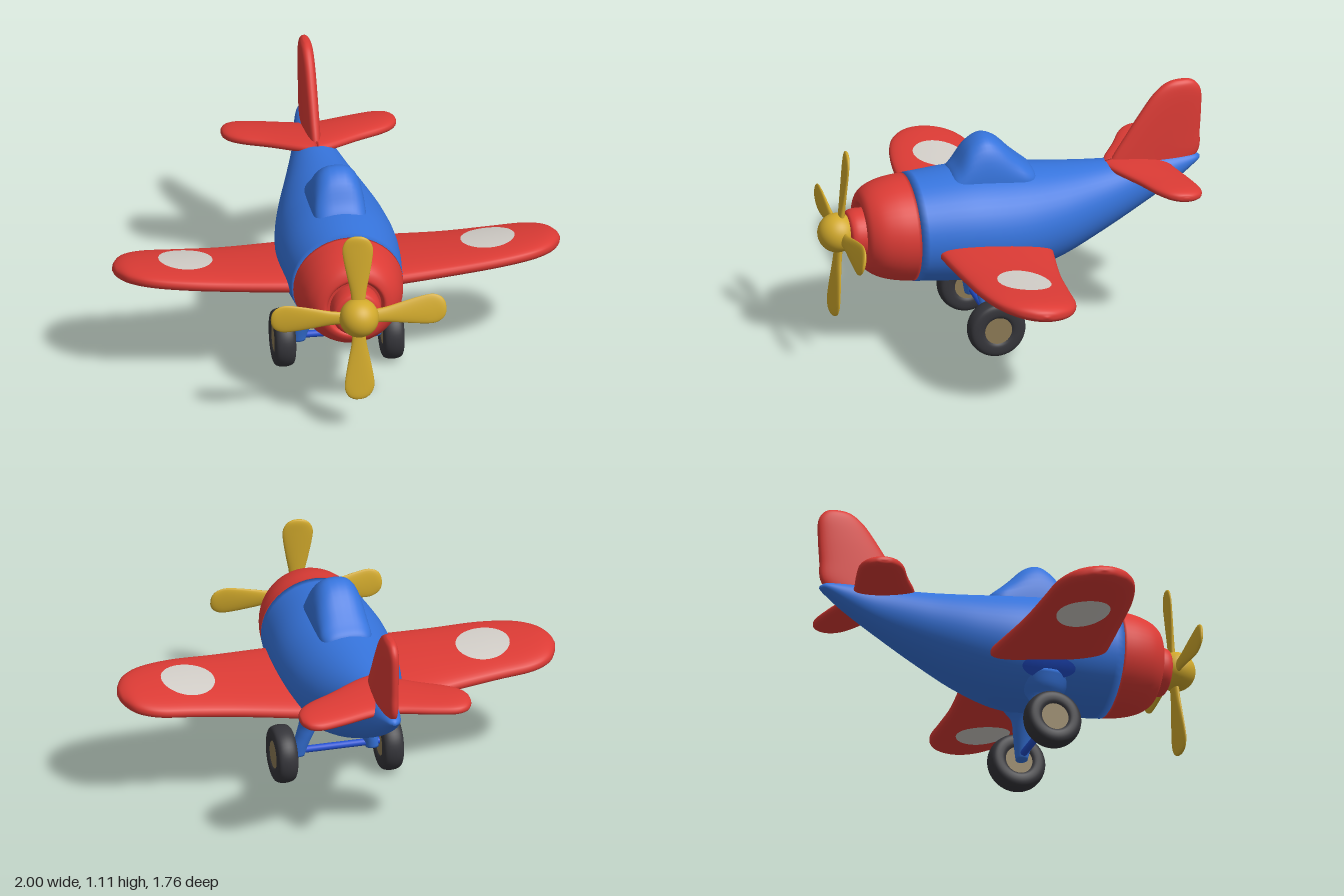
import * as THREE from 'three';

const paint = (name, color, side = THREE.FrontSide) => {
  const m = new THREE.MeshStandardMaterial({ color, side });
  m.name = name;
  return m;
};

// Smooth curve through the rows of a small table, addressed by row number
function smoothTable(rows) {
  const width = rows[0].length;
  const curve = new THREE.CubicInterpolant(rows.map((_, i) => i), rows.flat(), width, new Float32Array(width));
  const at = t => Array.from(curve.evaluate(t));
  at.last = rows.length - 1;
  return at;
}

// Rounded section: >1 sharpens, <1 squares off
const bulge = (v, p) => Math.sign(v) * Math.pow(Math.abs(v), p);

// Closed skin over the sections of a table; point(row, angle) gives the surface
function loft(at, point, steps = 40, sides = 36) {
  const pos = [], idx = [];
  for (let i = 0; i <= steps; i++) {
    const row = at(at.last * i / steps);
    for (let j = 0; j < sides; j++) pos.push(...point(row, 2 * Math.PI * j / sides));
  }
  for (const ring of [0, steps]) {
    const c = [0, 0, 0];
    for (let j = 0; j < sides; j++) for (let k = 0; k < 3; k++) c[k] += pos[(ring * sides + j) * 3 + k] / sides;
    pos.push(...c);
  }
  const capA = (steps + 1) * sides, capB = capA + 1;
  for (let j = 0; j < sides; j++) {
    const n = (j + 1) % sides;
    for (let i = 0; i < steps; i++) {
      const a = i * sides + j, b = i * sides + n;
      idx.push(a, b, a + sides, b, b + sides, a + sides);
    }
    idx.push(capA, n, j, capB, steps * sides + j, steps * sides + n);
  }
  // Turn the skin outwards if its signed volume is negative
  const v = i => new THREE.Vector3().fromArray(pos, i * 3);
  let volume = 0;
  for (let i = 0; i < idx.length; i += 3) volume += v(idx[i]).dot(v(idx[i + 1]).cross(v(idx[i + 2])));
  if (volume < 0) idx.reverse();
  const g = new THREE.BufferGeometry();
  g.setAttribute('position', new THREE.Float32BufferAttribute(pos, 3));
  g.setIndex(idx);
  g.computeVertexNormals();
  return g;
}

// Thin round marking laid on a surface: place(u, v) maps the unit disc
function decal(place) {
  const g = new THREE.RingGeometry(0.001, 1, 40, 6), p = g.attributes.position;
  for (let i = 0; i < p.count; i++) p.setXYZ(i, ...place(p.getX(i), p.getY(i)));
  g.computeVertexNormals();
  return g;
}

export function createModel() {
  const model = new THREE.Group();
  model.name = 'toyPlane';
  const red = paint('red', 0xdc3b35), blue = paint('blue', 0x3674dc), yellow = paint('yellow', 0xd2aa2c);
  const black = paint('tyre black', 0x35353a), tan = paint('hub tan', 0x8c7a55);
  const white = paint('marking white', 0xd2cec8, THREE.DoubleSide);
  const deepBlue = paint('deep blue', 0x2350d0, THREE.DoubleSide);
  const add = (name, geometry, material, parent = model) => {
    const m = new THREE.Mesh(geometry, material);
    m.name = name;
    parent.add(m);
    return m;
  };

  // Fuselage and cowl: z, top, bottom, half width
  const hull = ([z, top, bottom, w], a, grow = 0) => [
    (w + grow) * Math.cos(a), (top + bottom) / 2 + ((top - bottom) / 2 + grow) * Math.sin(a), z];
  const body = smoothTable([
    [0.475, 0.80, 0.317, 0.246], [0.22, 0.812, 0.293, 0.268], [0, 0.795, 0.29, 0.257], [-0.2, 0.775, 0.345, 0.215],
    [-0.4, 0.762, 0.435, 0.152], [-0.6, 0.76, 0.54, 0.09], [-0.75, 0.758, 0.632, 0.058],
    [-0.84, 0.75, 0.7, 0.032], [-0.868, 0.735, 0.72, 0.008]]);
  add('fuselage', loft(body, hull, 56, 48), blue);
  const cowl = smoothTable([
    [0.473, 0.80, 0.318, 0.246], [0.56, 0.793, 0.332, 0.232], [0.63, 0.775, 0.355, 0.21], [0.675, 0.748, 0.385, 0.178],
    [0.693, 0.715, 0.412, 0.148], [0.69, 0.695, 0.43, 0.13], [0.665, 0.68, 0.445, 0.118]]);
  add('cowl', loft(cowl, hull, 36, 48), red);
  const nose = smoothTable([[0.64, 0.108], [0.7, 0.112], [0.735, 0.107], [0.752, 0.09], [0.76, 0.04]]);
  add('noseRing', loft(nose, ([z, r], a) => [r * Math.cos(a), 0.558 + r * Math.sin(a), z], 24), red);

  // Canopy bump: z, top, half width
  const canopy = smoothTable([
    [0.295, 0.775, 0.08], [0.28, 0.81, 0.105], [0.25, 0.85, 0.117], [0.2, 0.93, 0.12], [0.135, 0.968, 0.121],
    [0.07, 0.945, 0.121], [0, 0.875, 0.12], [-0.05, 0.828, 0.117], [-0.085, 0.797, 0.1], [-0.1, 0.77, 0.07]]);
  add('canopy', loft(canopy, ([z, top, w], a) => {
    const s = Math.sin(a);
    return [w * bulge(Math.cos(a), 0.75), 0.75 + (s > 0 ? top - 0.75 : 0.05) * bulge(s, 0.85), z];
  }), blue);

  // Wing: x, leading z, trailing z, half thickness, height
  const wing = smoothTable([
    [0.1, 0.4, -0.16, 0.062, 0.473], [0.28, 0.39, -0.125, 0.056, 0.483], [0.5, 0.37, -0.088, 0.052, 0.495],
    [0.7, 0.35, -0.07, 0.05, 0.51], [0.85, 0.31, -0.058, 0.048, 0.52], [0.94, 0.25, -0.015, 0.042, 0.525],
    [0.985, 0.18, 0.055, 0.026, 0.526], [1, 0.125, 0.11, 0.004, 0.526]]);
  const wingHeight = (row, z) => row[4] + 0.13 * (z - 0.13);
  // Wing row at a given span, found by halving
  const wingAt = x => {
    let lo = 0, hi = wing.last;
    for (let i = 0; i < 24; i++) {
      const mid = (lo + hi) / 2;
      if (wing(mid)[0] < x) lo = mid; else hi = mid;
    }
    return wing(lo);
  };

  // Tailplane: x, leading z, trailing z, half thickness
  const tail = smoothTable([
    [0, -0.42, -0.72, 0.034], [0.08, -0.455, -0.735, 0.034], [0.2, -0.525, -0.768, 0.033], [0.3, -0.575, -0.788, 0.032],
    [0.355, -0.615, -0.775, 0.028], [0.383, -0.655, -0.74, 0.018], [0.391, -0.69, -0.71, 0.004]]);

  // Strut: y, x centre, x radius, z radius
  const strut = smoothTable([
    [0.115, 0.17, 0.03, 0.026], [0.16, 0.16, 0.034, 0.036], [0.22, 0.138, 0.036, 0.05],
    [0.28, 0.118, 0.044, 0.066], [0.33, 0.12, 0.075, 0.1], [0.39, 0.125, 0.095, 0.135]]);

  // Tyre cross-section: radius, half width
  const tyreProfile = new THREE.SplineCurve([
    [0.058, -0.036], [0.075, -0.046], [0.105, -0.046], [0.124, -0.034], [0.131, 0],
    [0.124, 0.034], [0.105, 0.046], [0.075, 0.046], [0.058, 0.036]].map(p => new THREE.Vector2(...p))).getPoints(32);

  for (const [side, s] of [['left', 1], ['right', -1]]) {
    add(side + 'Wing', loft(wing, (row, a) => {
      const z = (row[1] + row[2]) / 2 + (row[1] - row[2]) / 2 * Math.cos(a);
      return [s * row[0], wingHeight(row, z) + row[3] * bulge(Math.sin(a), 0.8), z];
    }, 48, 48), red);

    // Round markings above and below each wing
    for (const up of [1, -1]) {
      add(side + (up > 0 ? 'UpperMarking' : 'LowerMarking'), decal((u, v) => {
        const x = 0.675 + 0.12 * u, z = 0.13 + 0.12 * v, row = wingAt(x);
        const c = (z - (row[1] + row[2]) / 2) / ((row[1] - row[2]) / 2);
        return [s * x, wingHeight(row, z) + up * (row[3] * Math.pow(1 - c * c, 0.4) + 0.003), z];
      }), white);
    }

    // Dark patch on the belly under the wing root
    add(side + 'BellyPatch', decal((u, v) => {
      const [x, y, z] = hull(body(1.42 + 0.55 * u), -0.62 + 0.2 * v, 0.004);
      return [s * x, y, z];
    }), deepBlue);

    add(side + 'Tailplane', loft(tail, ([x, le, te, t], a) => {
      const z = (le + te) / 2 + (le - te) / 2 * Math.cos(a);
      return [s * x, 0.724 + 0.1 * (z + 0.64) + t * bulge(Math.sin(a), 0.8), z];
    }), red);

    add(side + 'Strut', loft(strut, ([y, x, rx, rz], a) =>
      [s * (x + rx * Math.cos(a)), y, 0.135 + rz * Math.sin(a)], 24, 28), blue);

    const wheel = new THREE.Group();
    wheel.name = side + 'Wheel';
    wheel.position.set(s * 0.242, 0.131, 0.135);
    wheel.rotation.z = Math.PI / 2;
    model.add(wheel);
    add('tyre', new THREE.LatheGeometry(tyreProfile, 48), black, wheel);
    add('hub', new THREE.CylinderGeometry(0.062, 0.062, 0.08, 36), tan, wheel);
  }

  const axle = add('axle', new THREE.CylinderGeometry(0.016, 0.016, 0.42, 20), deepBlue);
  axle.rotation.z = Math.PI / 2;
  axle.position.set(0, 0.138, 0.135);

  // Upright fin: y, leading z, trailing z, half thickness
  const fin = smoothTable([
    [0.69, -0.44, -0.8, 0.036], [0.765, -0.465, -0.864, 0.036], [0.86, -0.525, -0.87, 0.036], [0.97, -0.597, -0.876, 0.035],
    [1.05, -0.655, -0.875, 0.032], [1.092, -0.702, -0.853, 0.026], [1.11, -0.74, -0.825, 0.014], [1.114, -0.77, -0.795, 0.003]]);
  add('tailFin', loft(fin, ([y, le, te, t], a) =>
    [t * bulge(Math.sin(a), 0.75), y, (le + te) / 2 + (le - te) / 2 * Math.cos(a)]), red);

  // Propeller, leaning slightly back
  const propeller = new THREE.Group();
  propeller.name = 'propeller';
  propeller.position.set(0, 0.565, 0.785);
  propeller.rotation.x = -0.085;
  model.add(propeller);
  add('spinner', new THREE.SphereGeometry(0.088, 40, 28), yellow, propeller).position.set(0, 0.006, 0.012);
  const blade = smoothTable([
    [0.03, 0.028, 0.016], [0.12, 0.034, 0.015], [0.2, 0.049, 0.014], [0.28, 0.063, 0.013],
    [0.335, 0.067, 0.012], [0.372, 0.052, 0.011], [0.389, 0.028, 0.007], [0.393, 0.005, 0.002]]);
  const bladeShape = loft(blade, ([r, w, t], a) => {
    const x = w * Math.cos(a), z = t * Math.sin(a);
    return [x, r, z + 0.12 * x];
  }, 28, 24);
  for (const turn of [0, Math.PI / 2 - 0.06, Math.PI, -Math.PI / 2 + 0.06]) {
    add('blade', bladeShape, yellow, propeller).rotation.z = turn;
  }
  return model;
}
